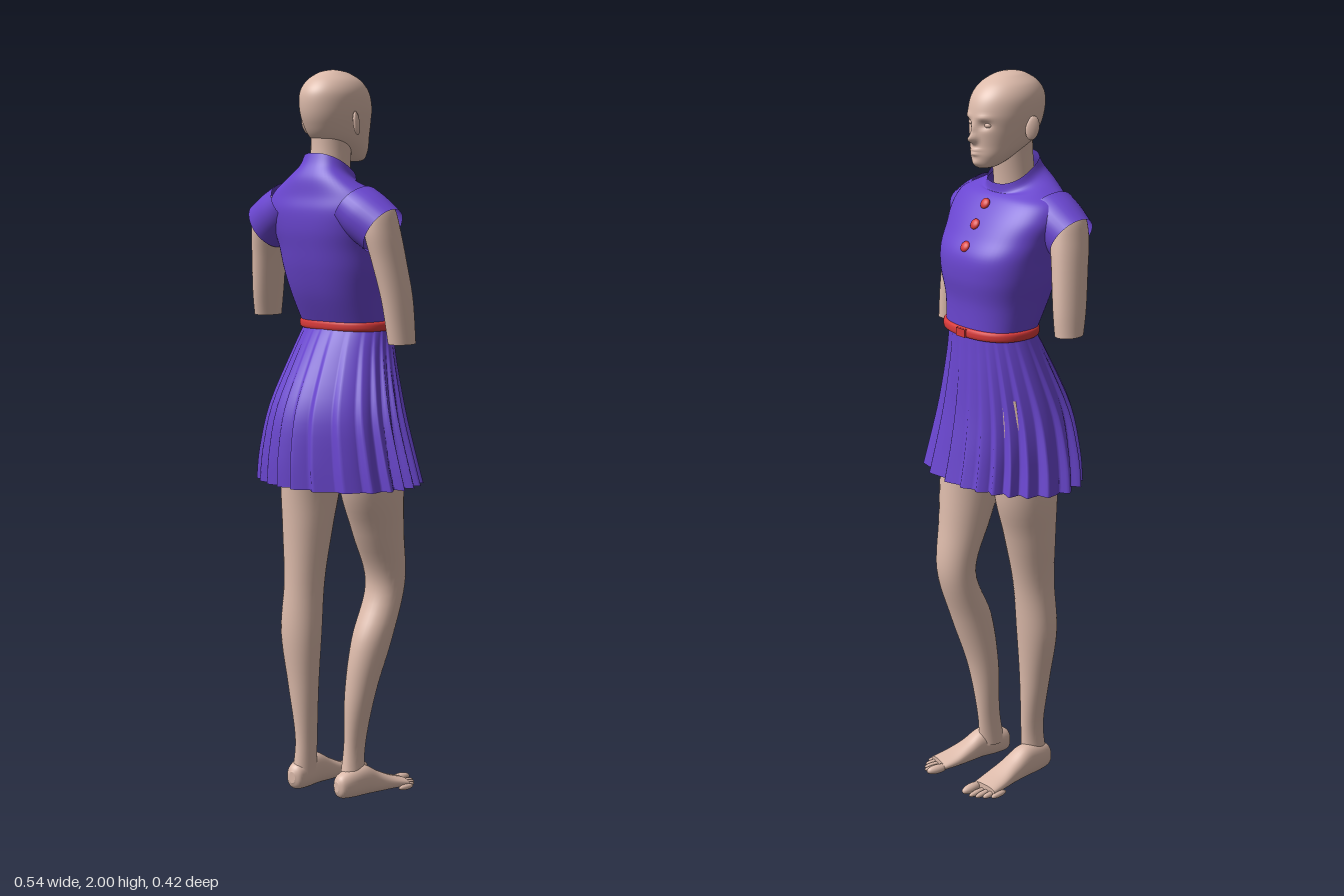
import * as THREE from 'three';

const mat = (color, side = THREE.FrontSide) => new THREE.MeshStandardMaterial({ color, side });
const skin = mat(0xdcbaaa);
const cloth = mat(0x6a46d0, THREE.DoubleSide);
const red = mat(0xd83a3a, THREE.DoubleSide);

// Smooth interpolation through rows of numbers of equal length
function smoothRows(rows, sub) {
  const out = [];
  const at = i => rows[Math.min(Math.max(i, 0), rows.length - 1)];
  for (let i = 0; i < rows.length - 1; i++)
    for (let s = 0; s < sub; s++) {
      const t = s / sub;
      out.push(at(i).map((p1, k) => {
        const p0 = at(i - 1)[k], p2 = at(i + 1)[k], p3 = at(i + 2)[k];
        return p1 + 0.5 * t * (p2 - p0 + t * (2 * p0 - 5 * p1 + 4 * p2 - p3 + t * (3 * (p1 - p2) + p3 - p0)));
      }));
    }
  out.push(rows[rows.length - 1]);
  return out;
}

// Loft upward through sections [y, cx, cz, rx, rz, tilt]; tilt may be left out
function loft(sections, { segs = 32, sub = 6, power = 2, caps = true, shape = () => 1 } = {}) {
  const full = sections.map(([y, cx, cz, rx, rz, tilt = 0]) => [y, cx, cz, rx, rz, tilt]);
  const rows = smoothRows(full, sub), pos = [], idx = [];
  const pw = v => Math.sign(v) * Math.abs(v) ** (2 / power);
  rows.forEach(([y, cx, cz, rx, rz, tilt], j) => {
    for (let i = 0; i < segs; i++) {
      const a = i / segs * Math.PI * 2;
      const r = shape(a, j / (rows.length - 1));
      const z = r * rz * pw(Math.sin(a));
      pos.push(cx + r * rx * pw(Math.cos(a)), y + tilt * z, cz + z);
    }
  });
  for (let j = 0; j < rows.length - 1; j++)
    for (let i = 0; i < segs; i++) {
      const a = j * segs + i, c = j * segs + (i + 1) % segs;
      idx.push(a, a + segs, c, c, a + segs, c + segs);
    }
  // End caps with their own corners so the rims stay crisp
  if (caps) for (const top of [false, true]) {
    const last = top ? rows.length - 1 : 0, src = last * segs, base = pos.length / 3;
    pos.push(rows[last][1], rows[last][0], rows[last][2]);
    for (let i = 0; i < segs; i++) pos.push(...pos.slice((src + i) * 3, (src + i) * 3 + 3));
    for (let i = 0; i < segs; i++) {
      const a = base + 1 + i, b = base + 1 + (i + 1) % segs;
      if (top) idx.push(base, b, a); else idx.push(base, a, b);
    }
  }
  const g = new THREE.BufferGeometry();
  g.setAttribute('position', new THREE.Float32BufferAttribute(pos, 3));
  g.setIndex(idx);
  g.computeVertexNormals();
  return g;
}

function add(parent, name, geometry, material) {
  const m = new THREE.Mesh(geometry, material);
  m.name = name;
  parent.add(m);
  return m;
}

function ball(parent, name, material, p, s) {
  const m = add(parent, name, new THREE.SphereGeometry(1, 16, 12), material);
  m.position.set(...p);
  m.scale.set(...s);
  return m;
}

function makeHead() {
  const head = new THREE.Group();
  head.name = 'head';
  const g = loft([
    [1.757, 0, -0.04, 0.018, 0.022], [1.765, 0, -0.033, 0.034, 0.038], [1.79, 0, -0.01, 0.052, 0.068],
    [1.82, 0, 0.016, 0.066, 0.093], [1.86, 0, 0.028, 0.077, 0.107], [1.9, 0, 0.033, 0.083, 0.113],
    [1.94, 0, 0.038, 0.081, 0.106], [1.97, 0, 0.041, 0.066, 0.083], [1.99, 0, 0.043, 0.04, 0.05],
    [1.997, 0, 0.045, 0.022, 0.026], [2.0, 0, 0.045, 0.003, 0.003]], { segs: 80, sub: 8 });
  // Facial relief: [x, y, width, height, amount forward]
  const relief = [[0, 1.836, 0.01, 0.012, 0.023], [0, 1.86, 0.008, 0.018, 0.01],
    [0, 1.807, 0.017, 0.004, 0.006], [0, 1.796, 0.014, 0.005, 0.006], [0, 1.771, 0.016, 0.01, 0.006]];
  for (const s of [-1, 1]) relief.push([s * 0.03, 1.893, 0.018, 0.007, 0.004], [s * 0.031, 1.873, 0.014, 0.01, -0.01]);
  const p = g.attributes.position;
  for (let i = 0; i < p.count; i++) {
    if (p.getZ(i) > 0) continue;
    let d = 0;
    for (const [x, y, w, h, k] of relief)
      d += k * Math.exp(-(((p.getX(i) - x) / w) ** 2) - ((p.getY(i) - y) / h) ** 2);
    p.setZ(i, p.getZ(i) - d);
  }
  g.computeVertexNormals();
  add(head, 'skull', g, skin);
  for (const s of [-1, 1]) {
    ball(head, 'eye', skin, [s * 0.031, 1.873, -0.054], [0.013, 0.009, 0.013]);
    const ear = ball(head, 'ear', skin, [s * 0.085, 1.86, 0.048], [0.008, 0.032, 0.019]);
    ear.rotation.set(0.2, s * 0.45, 0);
  }
  add(head, 'neck', loft([[1.64, 0, 0.07, 0.06, 0.058], [1.72, 0, 0.06, 0.055, 0.056],
    [1.79, 0, 0.052, 0.052, 0.058], [1.84, 0, 0.05, 0.052, 0.06]]), skin);
  return head;
}

// Foot pointing to -z from the heel; inner is the side of the big toe
function makeFoot(inner) {
  const foot = new THREE.Group();
  foot.name = 'foot';
  const sole = add(foot, 'footBody', loft([[0, 0, 0.045, 0.01, 0.016], [0.012, 0, 0.045, 0.026, 0.034],
    [0.05, 0, 0.05, 0.033, 0.044], [0.1, 0, 0.052, 0.034, 0.046], [0.15, inner * 0.003, 0.038, 0.037, 0.033],
    [0.2, inner * 0.004, 0.027, 0.042, 0.021], [0.25, inner * 0.003, 0.019, 0.042, 0.013]], { power: 2.3 }), skin);
  sole.rotation.x = -Math.PI / 2;
  for (let i = 0; i < 5; i++) {
    const r = i ? 0.0085 : 0.014;
    ball(foot, 'toe', skin, [inner * (i ? 0.026 - i * 0.0165 : 0.032), r + 0.003, -0.27 + i * i * 0.0022],
      [r, r, 0.036 - i * 0.002]);
  }
  return foot;
}

export function createModel() {
  const model = new THREE.Group();
  model.name = 'figure';
  model.add(makeHead());

  // Bodice with raised collar
  add(model, 'bodice', loft([
    [1.32, 0.003, -0.018, 0.133, 0.098], [1.4, 0, 0, 0.145, 0.118], [1.47, 0, 0.006, 0.16, 0.135],
    [1.53, 0, 0.014, 0.168, 0.14], [1.58, 0, 0.033, 0.178, 0.13], [1.63, 0, 0.05, 0.187, 0.114],
    [1.67, 0, 0.062, 0.172, 0.093], [1.7, 0, 0.068, 0.12, 0.08, 0.2], [1.72, 0, 0.062, 0.08, 0.068, 0.5],
    [1.745, 0, 0.057, 0.068, 0.062, 0.6]], { segs: 64, power: 2.4, caps: false }), cloth);

  // Pleated skirt: saw-tooth folds that deepen toward the hem
  const pleats = 24;
  const fold = (a, t) => {
    const u = a / (Math.PI * 2) * pleats + 0.4 * Math.sin(a * 3);
    const f = u - Math.floor(u);
    const saw = f < 0.75 ? f / 0.75 : (1 - f) / 0.25;
    const depth = (0.11 + 0.03 * Math.sin(a * 5 + 1)) * Math.min(1, (1 - t) * 1.25);
    return 1 + depth * (saw - 0.75);
  };
  add(model, 'skirt', loft([
    [0.895, 0.003, 0.022, 0.25, 0.185, -0.03], [0.98, 0, 0.028, 0.232, 0.176, -0.02], [1.1, 0, 0.028, 0.2, 0.158],
    [1.24, 0, 0.002, 0.156, 0.121], [1.325, 0.003, -0.018, 0.132, 0.097]],
    { segs: pleats * 12, sub: 4, caps: false, shape: fold }), cloth);

  // Belt with a small front clasp
  add(model, 'belt', loft([[1.308, 0.003, -0.018, 0.134, 0.099], [1.313, 0.003, -0.018, 0.142, 0.106],
    [1.33, 0.003, -0.018, 0.142, 0.106], [1.335, 0.003, -0.018, 0.134, 0.099]],
    { segs: 64, sub: 3, power: 2.3, caps: false }), red);
  const clasp = add(model, 'beltClasp', new THREE.BoxGeometry(0.035, 0.022, 0.012), red);
  clasp.position.set(0, 1.322, -0.124);

  // Buttons
  for (const [y, z] of [[1.555, -0.114], [1.61, -0.08], [1.66, -0.045]])
    ball(model, 'button', red, [-0.004, y, z], [0.015, 0.015, 0.008]).rotation.x = 0.58;

  // Cap sleeves and upper arms, mirrored
  for (const [s, end] of [[1, 1.285], [-1, 1.335]]) {
    const side = new THREE.Group();
    side.name = s > 0 ? 'leftArm' : 'rightArm';
    side.scale.x = s;
    const sleeve = add(side, 'capSleeve', loft([[0, 0, 0, 0.066, 0.078], [0.05, 0, 0, 0.07, 0.076],
      [0.11, 0, 0, 0.069, 0.066]], { caps: false }), cloth);
    sleeve.position.set(0.112, 1.642, 0.08);
    sleeve.rotation.z = -2.15;
    add(side, 'upperArm', loft([[end, 0.239, 0.043, 0.033, 0.042], [1.4, 0.23, 0.052, 0.036, 0.05],
      [1.5, 0.214, 0.066, 0.04, 0.054], [1.58, 0.2, 0.078, 0.043, 0.056], [1.64, 0.194, 0.082, 0.035, 0.045],
      [1.66, 0.19, 0.082, 0.012, 0.015]]), skin);
    model.add(side);
  }

  // Straight leg on -x, relaxed bent leg on +x
  add(model, 'rightLeg', loft([[0.05, -0.103, 0.05, 0.03, 0.04], [0.15, -0.1, 0.045, 0.027, 0.036],
    [0.3, -0.109, 0.046, 0.042, 0.044], [0.45, -0.117, 0.045, 0.058, 0.056], [0.6, -0.115, 0.034, 0.055, 0.06],
    [0.75, -0.118, 0.016, 0.067, 0.076], [0.9, -0.117, 0, 0.078, 0.096], [1.15, -0.085, 0.01, 0.085, 0.1]]), skin);
  add(model, 'leftLeg', loft([[0.05, 0.047, 0.02, 0.03, 0.04], [0.15, 0.045, 0.006, 0.026, 0.036],
    [0.3, 0.058, -0.003, 0.042, 0.046], [0.45, 0.075, -0.032, 0.054, 0.06], [0.6, 0.082, -0.08, 0.056, 0.054],
    [0.75, 0.085, -0.045, 0.068, 0.077], [0.9, 0.09, -0.008, 0.08, 0.1], [1.15, 0.085, 0.015, 0.085, 0.1]]), skin);

  // Feet
  for (const [s, x, z, turn, size] of [[1, -0.105, 0.1, 0.06, 1], [-1, 0.042, 0.08, -0.2, 0.93]]) {
    const foot = makeFoot(s);
    foot.position.set(x, 0, z);
    foot.rotation.y = turn;
    foot.scale.setScalar(size);
    model.add(foot);
  }
  return model;
}
